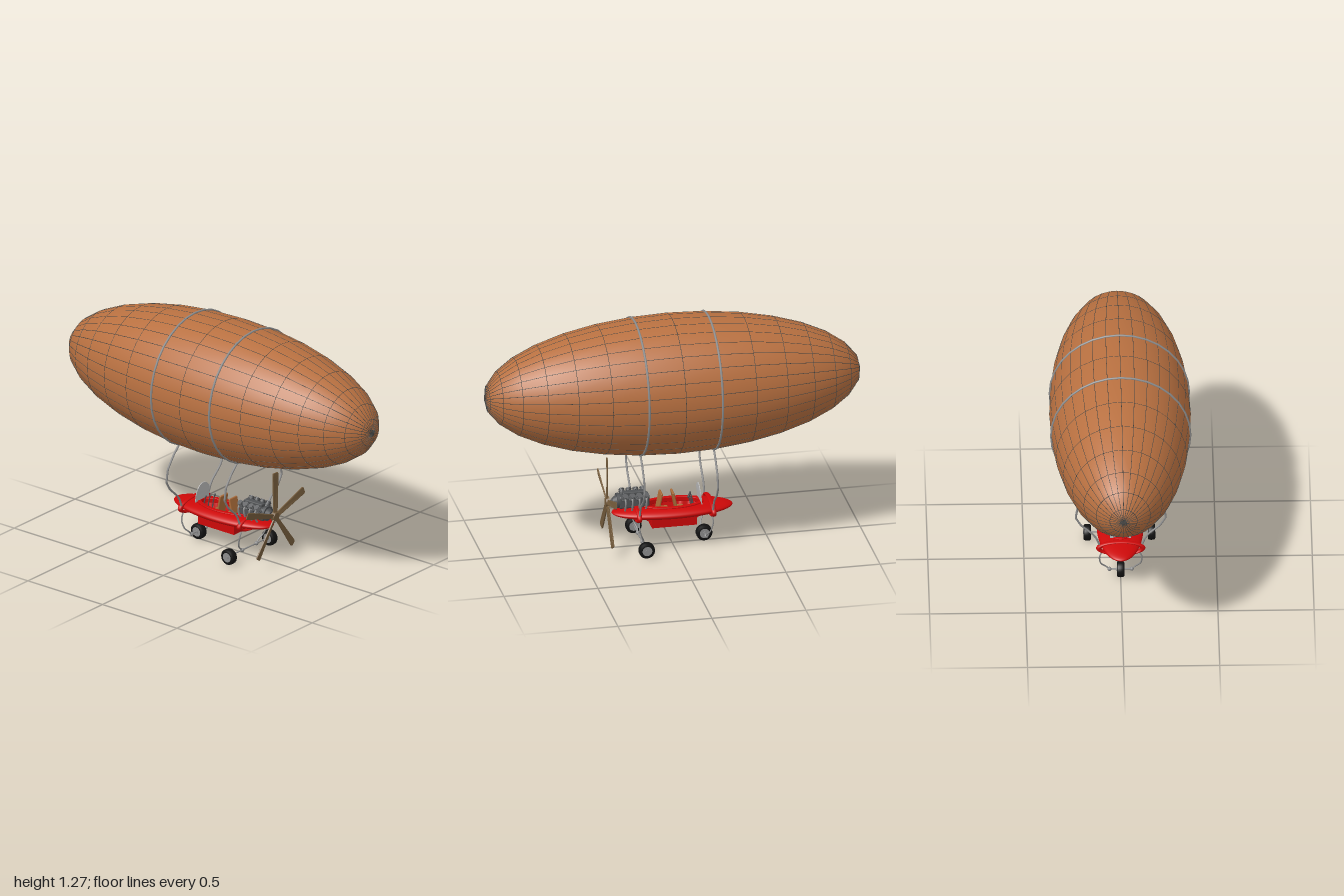
import * as THREE from 'three';
import { RoundedBoxGeometry } from 'three/addons/geometries/RoundedBoxGeometry.js';

const mat = (color, side = THREE.FrontSide) => new THREE.MeshStandardMaterial({ color, side });
const leather = mat(0xb87040), rope = mat(0x4a4a48), steel = mat(0x8c8c8c), red = mat(0xcc0808);
const wood = mat(0x755c3c), iron = mat(0x505254), rubber = mat(0x111111), seatTan = mat(0xa86a38);
const glass = mat(0xb8b8b8, THREE.DoubleSide);

function add(parent, name, geometry, material, x = 0, y = 0, z = 0) {
  const mesh = new THREE.Mesh(geometry, material);
  mesh.name = name;
  mesh.position.set(x, y, z);
  parent.add(mesh);
  return mesh;
}

function pipe(parent, name, points, radius, material, smooth = true) {
  const curve = new THREE.CatmullRomCurve3(points.map((p) => new THREE.Vector3(...p)), false, 'catmullrom', smooth ? 0.5 : 0.1);
  return add(parent, name, new THREE.TubeGeometry(curve, points.length * 5, radius, 8), material);
}

// Envelope profile: radius and z at each of the sixteen rows
const R = 0.367;
class Seam extends THREE.Curve {
  getPoint(t, target = new THREE.Vector3()) {
    const a = Math.PI * t;
    return target.set(0, R * Math.sin(a), 0.999 * Math.cos(a));
  }
  getPointAt(t, target) { return this.getPoint(t, target); }
  getTangentAt(t, target) { return this.getTangent(t, target); }
}

function buildEnvelope() {
  const g = new THREE.Group();
  g.name = 'envelope';
  g.position.y = 0.908;
  const skin = new THREE.SphereGeometry(1, 32, 16).rotateX(Math.PI / 2).scale(R, R, 0.999);
  add(g, 'balloonSkin', skin, leather);

  // Net of fine seams
  const seam = new THREE.TubeGeometry(new Seam(), 16, 0.0014, 4);
  for (let i = 0; i < 32; i++) add(g, 'lengthSeam', seam, rope).rotation.z = (i * Math.PI) / 16;
  for (let i = 1; i < 16; i++) {
    const a = (i * Math.PI) / 16;
    add(g, 'ringSeam', new THREE.TorusGeometry(R * Math.sin(a), 0.0014, 4, 32), rope, 0, 0, Math.cos(a));
  }

  // Two heavy bands that carry the gondola
  for (const z of [0.195, -0.195]) add(g, 'carryingBand', new THREE.TorusGeometry(0.362, 0.006, 8, 32), steel, 0, 0, z);
  return g;
}

function ovalShape(w, l) {
  const s = new THREE.Shape();
  s.absellipse(0, 0, w, l, 0, Math.PI * 2);
  return s;
}

function buildHull() {
  const g = new THREE.Group();
  g.name = 'hull';

  // Flattened spindle with the cockpit pressed into its top
  const body = new THREE.SphereGeometry(1, 64, 64).rotateX(Math.PI / 2).scale(0.122, 0.036, 0.32);
  const p = body.attributes.position;
  for (let i = 0; i < p.count; i++) {
    const x = p.getX(i), z = p.getZ(i);
    if (p.getY(i) > 0 && (x / 0.062) ** 2 + (z / 0.15) ** 2 < 1) p.setY(i, -0.055);
  }
  body.computeVertexNormals();
  add(g, 'body', body, red, 0, 0.2, 0);

  // Raised rim around the cockpit
  const rim = ovalShape(0.076, 0.165);
  rim.holes.push(new THREE.Path().absellipse(0, 0, 0.06, 0.147, 0, Math.PI * 2));
  const rimGeo = new THREE.ExtrudeGeometry(rim, { depth: 0.02, bevelSize: 0.003, bevelThickness: 0.003, bevelSegments: 2, curveSegments: 32 });
  add(g, 'cockpitRim', rimGeo.rotateX(-Math.PI / 2), red, 0, 0.212, 0);

  // Keel tub under the body
  const box = (w, l) => [[-w, -l], [w, -l], [w, l], [-w, l]].map((c) => new THREE.Vector2(...c));
  const tub = new THREE.Shape(box(0.066, 0.12));
  tub.holes.push(new THREE.Path(box(0.06, 0.114)));
  add(g, 'keelSides', new THREE.ExtrudeGeometry(tub, { depth: 0.055, bevelEnabled: false }).rotateX(-Math.PI / 2), red, 0, 0.122, 0);
  add(g, 'keelFloor', new THREE.BoxGeometry(0.13, 0.016, 0.238), red, 0, 0.129, 0);

  // Collars where the frames clasp the hull
  for (const z of [0.195, -0.2]) {
    const collar = new THREE.TorusGeometry(1, 0.13, 12, 40).scale(0.114, 0.038, 0.1);
    add(g, 'collar', collar, red, 0, 0.2, z);
  }
  return g;
}

function buildCockpit() {
  const g = new THREE.Group();
  g.name = 'cockpit';
  for (const [z, tilt] of [[0.07, -0.2], [-0.012, 0.2]]) {
    add(g, 'seatBack', new RoundedBoxGeometry(0.065, 0.115, 0.012, 3, 0.005), seatTan, 0, 0.24, z).rotation.x = tilt;
    add(g, 'seatCushion', new RoundedBoxGeometry(0.065, 0.02, 0.05, 3, 0.006), seatTan, 0, 0.195, z - 0.027);
  }
  // Control levers
  for (const x of [-0.025, 0, 0.025]) {
    const z = -0.1 + x * 0.4;
    pipe(g, 'lever', [[x, 0.16, z - 0.01], [x, 0.22, z - 0.004], [x, 0.265, z + 0.008]], 0.003, iron);
    add(g, 'leverKnob', new THREE.SphereGeometry(0.006, 10, 8), iron, x, 0.267, z + 0.009);
  }
  // Curved, arched windshield leaning over the cockpit
  const s = new THREE.Shape();
  s.moveTo(-0.055, 0).lineTo(0.055, 0).lineTo(0.055, 0.035);
  s.absellipse(0, 0.035, 0.055, 0.065, 0, Math.PI);
  const pane = new THREE.ExtrudeGeometry(s, { depth: 0.004, bevelEnabled: false, curveSegments: 24 });
  const p = pane.attributes.position;
  for (let i = 0; i < p.count; i++) p.setZ(i, p.getZ(i) + 6 * p.getX(i) ** 2 + 2.6 * p.getY(i) ** 2);
  pane.computeVertexNormals();
  add(g, 'windshield', pane, glass, 0, 0.229, -0.168);
  return g;
}

function buildEngine() {
  const g = new THREE.Group();
  g.name = 'engine';
  add(g, 'crankcase', new RoundedBoxGeometry(0.06, 0.07, 0.165, 3, 0.012), iron, 0, 0.262, 0.205);
  add(g, 'endPlate', new THREE.CylinderGeometry(0.04, 0.04, 0.014, 20).rotateX(Math.PI / 2), iron, 0, 0.268, 0.29);
  add(g, 'gearHousing', new THREE.CylinderGeometry(0.018, 0.032, 0.022, 20).rotateX(Math.PI / 2), iron, 0, 0.266, 0.307);
  add(g, 'topCover', new RoundedBoxGeometry(0.034, 0.02, 0.12, 3, 0.006), iron, 0, 0.305, 0.205);

  // Two banks of finned cylinders with bent exhaust pipes
  for (const side of [-1, 1]) for (let i = 0; i < 4; i++) {
    const z = 0.148 + i * 0.037;
    const cyl = new THREE.Group();
    cyl.name = 'engineCylinder';
    cyl.position.set(side * 0.022, 0.278, z);
    cyl.rotation.z = -side * 0.75;
    g.add(cyl);
    add(cyl, 'barrel', new THREE.CylinderGeometry(0.013, 0.013, 0.05, 14), iron, 0, 0.02, 0);
    for (let f = 0; f < 4; f++) add(cyl, 'coolingFin', new THREE.CylinderGeometry(0.016, 0.016, 0.003, 14), iron, 0, 0.012 + f * 0.009, 0);
    pipe(g, 'exhaust', [[side * 0.05, 0.298, z], [side * 0.064, 0.28, z], [side * 0.058, 0.248, z], [side * 0.045, 0.225, z]], 0.005, steel);
  }
  return g;
}

function buildPropeller() {
  const g = new THREE.Group();
  g.name = 'propeller';
  g.position.set(0, 0.265, 0.345);
  add(g, 'shaft', new THREE.CylinderGeometry(0.009, 0.009, 0.06, 14).rotateX(Math.PI / 2), iron, 0, 0, -0.025);
  add(g, 'hub', new THREE.CylinderGeometry(0.022, 0.03, 0.018, 20).rotateX(Math.PI / 2), wood);
  // Blades widen toward the tip and twist along their length
  const blade = new RoundedBoxGeometry(1, 1, 1, 3, 0.12).scale(1, 0.24, 0.008).translate(0, 0.126, 0);
  const p = blade.attributes.position;
  for (let i = 0; i < p.count; i++) {
    const y = p.getY(i), a = 0.35 - y * 0.9, x = p.getX(i) * (0.022 + 0.07 * y), z = p.getZ(i);
    p.setXYZ(i, x * Math.cos(a) - z * Math.sin(a), y, x * Math.sin(a) + z * Math.cos(a));
  }
  blade.computeVertexNormals();
  for (let i = 0; i < 5; i++) add(g, 'blade', blade, wood).rotation.z = (i * Math.PI * 2) / 5;
  return g;
}

function buildWheel(x, z) {
  const g = new THREE.Group();
  g.name = 'wheel';
  g.position.set(x, 0.046, z);
  const tyre = [[0.026, -0.019], [0.037, -0.019], [0.042, -0.013], [0.043, 0], [0.042, 0.013], [0.037, 0.019], [0.026, 0.019]];
  const profile = tyre.map((c) => new THREE.Vector2(...c));
  add(g, 'tyre', new THREE.LatheGeometry(profile, 28).rotateZ(Math.PI / 2), rubber);
  add(g, 'wheelDisc', new THREE.CylinderGeometry(0.028, 0.028, 0.032, 24).rotateZ(Math.PI / 2), steel);
  add(g, 'wheelCap', new THREE.CylinderGeometry(0.009, 0.009, 0.042, 14).rotateZ(Math.PI / 2), steel);
  return g;
}

function buildLandingGear() {
  const g = new THREE.Group();
  g.name = 'landingGear';
  for (const [z, half] of [[0.17, 0.167], [-0.17, 0.06]]) {
    const zTop = Math.sign(z) * 0.195;
    add(g, 'axle', new THREE.CylinderGeometry(0.004, 0.004, half * 2, 10).rotateZ(Math.PI / 2), steel, 0, 0.048, z);
    for (const s of [-1, 1]) {
      add(g, 'axleJoint', new THREE.SphereGeometry(0.011, 14, 10), steel, s * 0.058, 0.048, z);
      pipe(g, 'gearStrut', [[s * 0.095, 0.18, zTop], [s * 0.11, 0.14, zTop], [s * 0.104, 0.095, (z + zTop) / 2], [s * 0.08, 0.068, z], [s * 0.058, 0.048, z]], 0.004, steel);
    }
  }
  for (const [x, z] of [[-0.167, 0.17], [0.167, 0.17], [0, -0.17]]) g.add(buildWheel(x, z));
  return g;
}

function buildSuspension() {
  const g = new THREE.Group();
  g.name = 'suspension';
  // Bowed hangers from the bands down to the collars
  const path = [[0.13, 0.57], [0.175, 0.525], [0.222, 0.46], [0.234, 0.39], [0.205, 0.34], [0.145, 0.285], [0.125, 0.255], [0.11, 0.215]];
  for (const z of [0.195, -0.195]) for (const s of [-1, 1]) {
    pipe(g, 'hanger', path.map(([x, y]) => [s * x, y, z]), 0.0055, steel, false);
  }
  return g;
}

export function createModel() {
  const model = new THREE.Group();
  model.name = 'airship';
  const gondola = new THREE.Group();
  gondola.name = 'gondola';
  gondola.add(buildHull(), buildCockpit(), buildEngine(), buildPropeller(), buildLandingGear());
  model.add(buildEnvelope(), buildSuspension(), gondola);
  return model;
}
